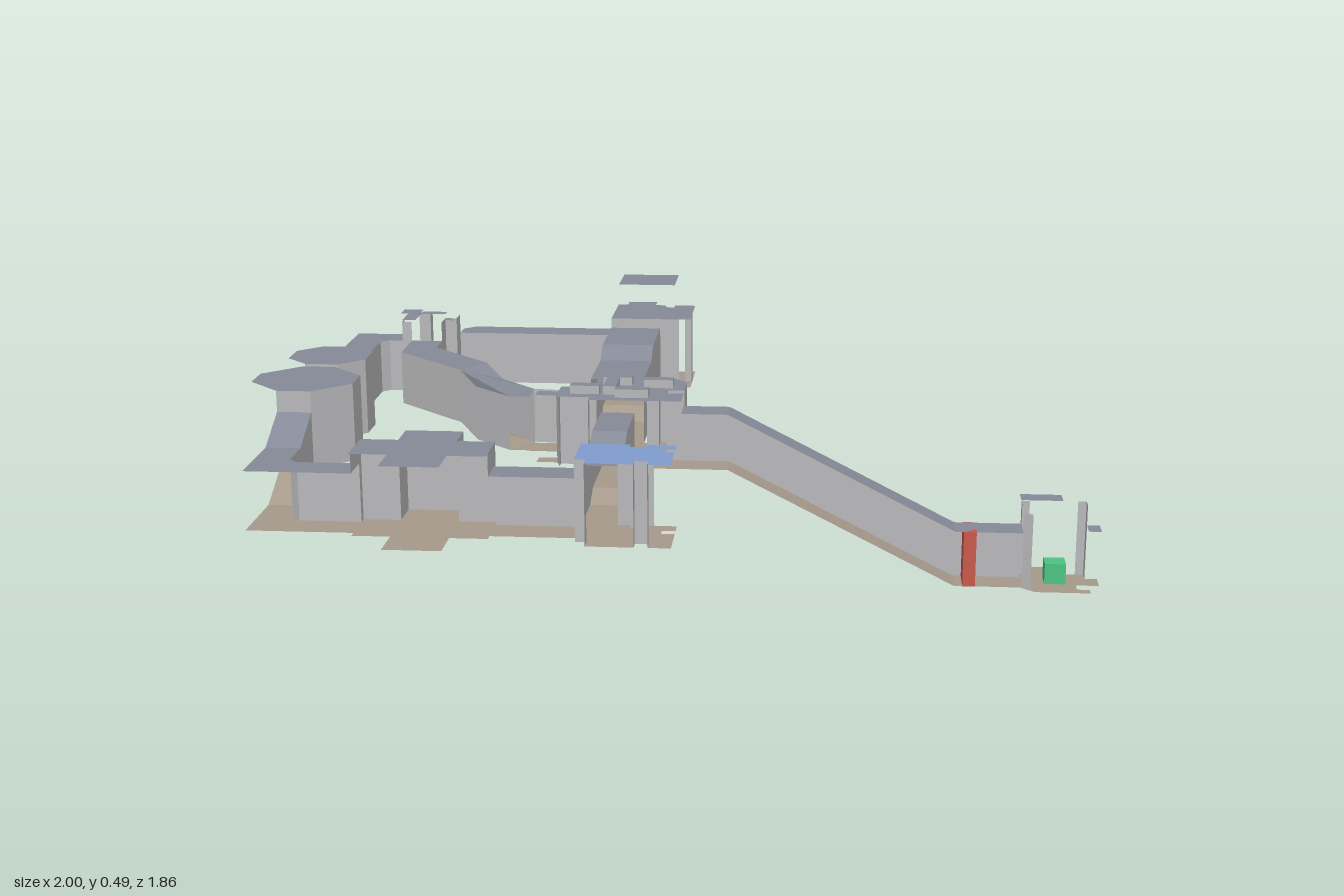
import * as THREE from 'three';

const mat = (name, color) => Object.assign(new THREE.MeshStandardMaterial({ color, side: THREE.DoubleSide }), { name });

export function createModel() {
  const root = new THREE.Group();
  root.name = 'tunnelComplex';
  const wallMat = mat('wall grey', 0xb9b9bb);
  const ceilMat = mat('ceiling slate', 0x868a98);
  const floorMat = mat('floor tan', 0xa5998a);
  const blueMat = mat('blue', 0x7f9ccb);
  const redMat = mat('red', 0xc9594c);
  const greenMat = mat('green', 0x4cc481);

  const add = (name, geo, material) => {
    const m = new THREE.Mesh(geo, material);
    m.name = name;
    root.add(m);
    return m;
  };
  const soup = (tris) => {
    const g = new THREE.BufferGeometry();
    g.setAttribute('position', new THREE.Float32BufferAttribute(tris.flat(), 3));
    g.computeVertexNormals();
    return g;
  };
  // flat or sloping plate from an outline of [x, z, y]; y falls back to y0
  const plate = (name, pts, y0, lift, material) => {
    const flat = pts.map((p) => new THREE.Vector2(p[0], -p[1]));
    if (THREE.ShapeUtils.isClockWise(flat)) { flat.reverse(); pts = [...pts].reverse(); }
    const tris = THREE.ShapeUtils.triangulateShape(flat, [])
      .flatMap((f) => f.map((i) => [pts[i][0], (pts[i][2] ?? y0) + lift, pts[i][1]]));
    add(name, soup(tris), material);
  };
  // upright strip along a path of [x, z, y]
  const wall = (name, path, y0, h, material = wallMat) => {
    const tris = [];
    for (let i = 0; i + 1 < path.length; i++) {
      const [a, b] = [path[i], path[i + 1]];
      const ya = a[2] ?? y0, yb = b[2] ?? y0;
      const A = [a[0], ya, a[1]], B = [b[0], yb, b[1]];
      const C = [b[0], yb + h, b[1]], D = [a[0], ya + h, a[1]];
      tris.push(A, B, C, A, C, D);
    }
    add(name, soup(tris), material);
  };
  // floor, ceiling and the walls that close it
  const area = (name, pts, y, h, walls = [], roofMat = ceilMat, roofPts = pts) => {
    plate(name + 'Floor', pts, y, 0, floorMat);
    if (roofPts) plate(name + 'Ceiling', roofPts, y, h, roofMat);
    walls.forEach((w) => wall(name + 'Wall', w, y, h));
  };
  const rect = (x0, x1, z0, z1) => [[x0, z0], [x1, z0], [x1, z1], [x0, z1]];
  // straight passage along z or x with floor height y0 -> y1
  const alongZ = (name, x0, x1, z0, z1, y0, y1, h, sides) => area(name,
    [[x0, z0, y0], [x1, z0, y0], [x1, z1, y1], [x0, z1, y1]], 0, h,
    sides.map((s) => { const x = s === 'w' ? x0 : x1; return [[x, z0, y0], [x, z1, y1]]; }));
  const alongX = (name, x0, x1, z0, z1, y0, y1, h, sides) => area(name,
    [[x0, z0, y0], [x1, z0, y1], [x1, z1, y1], [x0, z1, y0]], 0, h,
    sides.map((s) => { const z = s === 'n' ? z0 : z1; return [[x0, z, y0], [x1, z, y1]]; }));

  const LOW = 0.25, MID = 0.275, HIGH = 0.305, H = 0.135, ROOM = 0.185;

  // long ramp from the hub down to the end room
  alongX('rampTop', 0, 0.11, 0.28, 0.355, MID, MID, H, ['n']);
  alongX('rampSlope', 0.11, 0.65, 0.28, 0.355, MID, 0, H, ['n']);
  alongX('rampFoot', 0.65, 0.81, 0.28, 0.355, 0, 0, H, ['n']);
  const door = (name, w, h, d, x, y, z, m) => add(name, new THREE.BoxGeometry(w, h, d), m).position.set(x, y + h / 2, z);
  door('redDoor', 0.03, 0.135, 0.08, 0.685, 0, 0.317, redMat);

  // end room with its block and open roof
  area('endRoom', [[0.81, 0.2], [0.91, 0.2], [0.91, 0.25], [0.965, 0.25], [0.965, 0.28], [0.995, 0.28], [0.995, 0.33],
    [0.94, 0.33], [0.94, 0.36], [0.97, 0.36], [0.97, 0.385], [0.84, 0.385], [0.81, 0.36]], 0, ROOM, [
    [[0.81, 0.28], [0.81, 0.255], [0.83, 0.255]],
    [[0.945, 0.25], [0.965, 0.25], [0.965, 0.28]],
    [[0.81, 0.355], [0.83, 0.365]]], ceilMat, null);
  plate('endRoomCeiling', rect(0.81, 0.91, 0.2, 0.25), 0, ROOM, ceilMat);
  plate('endRoomCeiling', rect(0.965, 0.995, 0.28, 0.33), 0, H, ceilMat);
  door('greenBlock', 0.05, 0.05, 0.05, 0.89, 0.002, 0.305, greenMat);

  // hub with an uneven outline
  const hub = [[-0.35, 0.28], [-0.3, 0.28], [-0.3, 0.23], [-0.25, 0.23], [-0.25, 0.19], [-0.22, 0.19], [-0.22, 0.13],
    [-0.1, 0.13], [-0.1, 0.16], [-0.07, 0.16], [-0.07, 0.12], [-0.04, 0.12], [0, 0.17], [0, 0.25], [-0.04, 0.25],
    [-0.04, 0.28], [0, 0.28], [0, 0.355], [-0.22, 0.355], [-0.22, 0.33], [-0.29, 0.33], [-0.29, 0.35], [-0.3, 0.32], [-0.35, 0.32]];
  area('hub', hub, MID, 0.165, [hub.slice(1, 7), hub.slice(7, 17), hub.slice(18, 23)]);
  [[-0.27, -0.2, 0.27, 0.3], [-0.2, -0.13, 0.18, 0.21], [-0.16, -0.08, 0.3, 0.33], [-0.1, -0.03, 0.2, 0.23],
    [-0.19, -0.16, 0.21, 0.3]].forEach(([x0, x1, z0, z1]) => {
    plate('hubUpperCeiling', rect(x0, x1, z0, z1), MID, ROOM, ceilMat);
    wall('hubUpperWall', [...rect(x0, x1, z0, z1), [x0, z0]], 0.44, 0.02);
  });

  // main passage north from the hub
  alongZ('mainPassage', -0.24, -0.11, -0.07, 0.13, MID, MID, 0.16, ['w', 'e']);
  alongZ('mainSlope', -0.24, -0.11, -0.12, -0.07, HIGH, MID, 0.16, ['w', 'e']);
  alongZ('mainUpper', -0.24, -0.11, -0.32, -0.12, HIGH, HIGH, 0.16, ['w', 'e']);
  wall('mainLintel', [[-0.24, -0.32], [-0.11, -0.32]], HIGH + 0.16, 0.025);

  // north room
  const north = [[-0.24, -0.5], [-0.11, -0.5], [-0.11, -0.475], [-0.085, -0.475], [-0.085, -0.5], [-0.03, -0.5], [-0.03, -0.32], [-0.24, -0.32]];
  area('northRoom', north, HIGH, ROOM, [
    [[-0.11, -0.32], [-0.06, -0.32]],
    [[-0.05, -0.39], [-0.03, -0.39], [-0.03, -0.365]],
    [[-0.16, -0.5], [-0.11, -0.5], [-0.11, -0.475], [-0.085, -0.475]],
    [[-0.24, -0.34], [-0.24, -0.32]], [[-0.24, -0.5], [-0.24, -0.42]]]);

  // back passage and back platform
  alongZ('backPassage', -0.24, -0.16, -0.78, -0.5, HIGH, HIGH, H, ['w']);
  door('blueDoor', 0.08, 0.13, 0.02, -0.2, HIGH, -0.56, blueMat);
  area('backRoom', rect(-0.27, -0.11, -0.93, -0.78), HIGH, ROOM);

  // north passage to the corner room
  area('northPassage', [[-0.24, -0.42], [-0.62, -0.42], [-0.65, -0.39], [-0.65, -0.34], [-0.24, -0.34]], HIGH, H,
    [[[-0.65, -0.34], [-0.24, -0.34]]]);

  // corner room, roof partly open
  area('cornerRoom', [[-0.81, -0.395], [-0.76, -0.395], [-0.76, -0.34], [-0.73, -0.34], [-0.73, -0.395], [-0.65, -0.395],
    [-0.65, -0.29], [-0.68, -0.29], [-0.68, -0.235], [-0.76, -0.235], [-0.78, -0.31], [-0.81, -0.34]], HIGH, ROOM, [
    [[-0.65, -0.34], [-0.65, -0.29], [-0.68, -0.29], [-0.68, -0.235]],
    [[-0.76, -0.235], [-0.785, -0.235], [-0.785, -0.265]],
    [[-0.76, -0.37], [-0.76, -0.34], [-0.73, -0.34], [-0.73, -0.37]]], ceilMat, null);
  [[-0.81, -0.76, -0.395, -0.34], [-0.79, -0.755, -0.34, -0.26], [-0.755, -0.69, -0.37, -0.34], [-0.68, -0.655, -0.29, -0.265]]
    .forEach((r) => plate('cornerRoomCeiling', rect(...r), HIGH, ROOM, ceilMat));

  // diagonal passage between corner room and hub
  area('diagonalUpper', [[-0.76, -0.235], [-0.68, -0.235], [-0.68, -0.16], [-0.52, 0], [-0.575, 0.08], [-0.76, -0.1]], HIGH, H,
    [[[-0.68, -0.235], [-0.68, -0.16], [-0.52, 0]], [[-0.76, -0.235], [-0.76, -0.1], [-0.575, 0.08]]]);
  area('diagonalLower', [[-0.52, 0, HIGH], [-0.47, 0.05], [-0.38, 0.14], [-0.38, 0.22], [-0.43, 0.22], [-0.525, 0.13], [-0.575, 0.08, HIGH]],
    MID, H, [[[-0.52, 0, HIGH], [-0.47, 0.05], [-0.38, 0.14]], [[-0.575, 0.08, HIGH], [-0.525, 0.13], [-0.43, 0.22]]]);
  area('hubEntry', rect(-0.38, -0.25, 0.15, 0.225), MID, H, [[[-0.38, 0.14], [-0.3, 0.15]]], ceilMat, rect(-0.3, -0.25, 0.15, 0.225));

  // west passage with two eight-sided rooms, closed on the inner side
  area('westPassage', [[-0.92, -0.31], [-0.82, -0.31], [-0.785, -0.31], [-0.785, -0.235], [-0.82, -0.235], [-0.84, -0.215],
    [-0.84, 0.065], [-0.92, 0.065]], HIGH, H, [[[-0.785, -0.235], [-0.82, -0.235], [-0.84, -0.215], [-0.84, 0.065]]]);
  const octagon = (name, cx, cz, r, c) => {
    const pts = [[c, -r], [r, -c], [r, c], [c, r], [-c, r], [-r, c], [-r, -c], [-c, -r]].map(([x, z]) => [cx + x, cz + z]);
    area(name, pts, HIGH, ROOM, [pts.slice(0, 4)]);
    [-r, r].forEach((d) => wall(name + 'Lintel', [[cx - c, cz + d], [cx + c, cz + d]], HIGH + H, ROOM - H));
  };
  octagon('smallOctagon', -0.88, 0.158, 0.095, 0.04);
  octagon('largeOctagon', -0.88, 0.4, 0.12, 0.04);
  alongZ('octagonLink', -0.92, -0.84, 0.253, 0.28, HIGH, HIGH, H, ['e']);
  alongZ('westSlope', -0.92, -0.84, 0.52, 0.63, HIGH, LOW, H, ['e']);

  // south-west bend
  area('southBend', [[-0.92, 0.63], [-0.84, 0.63], [-0.84, 0.72], [-0.82, 0.74], [-0.68, 0.74], [-0.68, 0.82], [-0.92, 0.82]], LOW, H,
    [[[-0.84, 0.63], [-0.84, 0.72], [-0.82, 0.74], [-0.68, 0.74]]]);

  // cross-shaped room
  const cross = [[-0.68, 0.74], [-0.68, 0.72], [-0.595, 0.72], [-0.595, 0.64], [-0.465, 0.64], [-0.465, 0.72], [-0.38, 0.72], [-0.38, 0.74],
    [-0.38, 0.84], [-0.465, 0.84], [-0.465, 0.93], [-0.595, 0.93], [-0.595, 0.84], [-0.68, 0.84]];
  area('crossRoom', cross, LOW, ROOM, [cross.slice(0, 8)]);
  [-0.68, -0.38].forEach((x) => wall('crossLintel', [[x, 0.74], [x, 0.82]], LOW + H, ROOM - H));
  alongX('southPassage', -0.38, -0.19, 0.74, 0.82, LOW, LOW, H, ['n']);

  // blue-roofed room
  area('blueRoom', [[-0.19, 0.72], [-0.08, 0.72], [-0.08, 0.74], [-0.05, 0.74], [-0.05, 0.72], [0.02, 0.72], [0.02, 0.755], [-0.01, 0.755],
    [-0.01, 0.775], [0.02, 0.775], [0.02, 0.875], [-0.03, 0.875], [-0.03, 0.85], [-0.06, 0.85], [-0.06, 0.875], [-0.165, 0.875],
    [-0.165, 0.845], [-0.19, 0.845]], LOW, ROOM, [
    [[-0.19, 0.74], [-0.19, 0.72]], [[-0.11, 0.72], [-0.08, 0.72], [-0.08, 0.74], [-0.05, 0.74], [-0.05, 0.72], [-0.03, 0.72]],
    [[-0.19, 0.82], [-0.19, 0.845], [-0.165, 0.845], [-0.165, 0.875]],
    [[-0.06, 0.875], [-0.06, 0.85], [-0.03, 0.85], [-0.03, 0.875]]], blueMat);
  wall('blueLintel', [[-0.19, 0.74], [-0.19, 0.82]], LOW + H, ROOM - H);

  // passage from the hub down to the blue-roofed room
  alongZ('southUpper', -0.19, -0.11, 0.355, 0.52, MID, MID, H, ['w', 'e']);
  alongZ('southSlope', -0.19, -0.11, 0.52, 0.575, MID, LOW, H, ['w', 'e']);
  alongZ('southLower', -0.19, -0.11, 0.575, 0.72, LOW, LOW, H, ['w', 'e']);

  return root;
}
